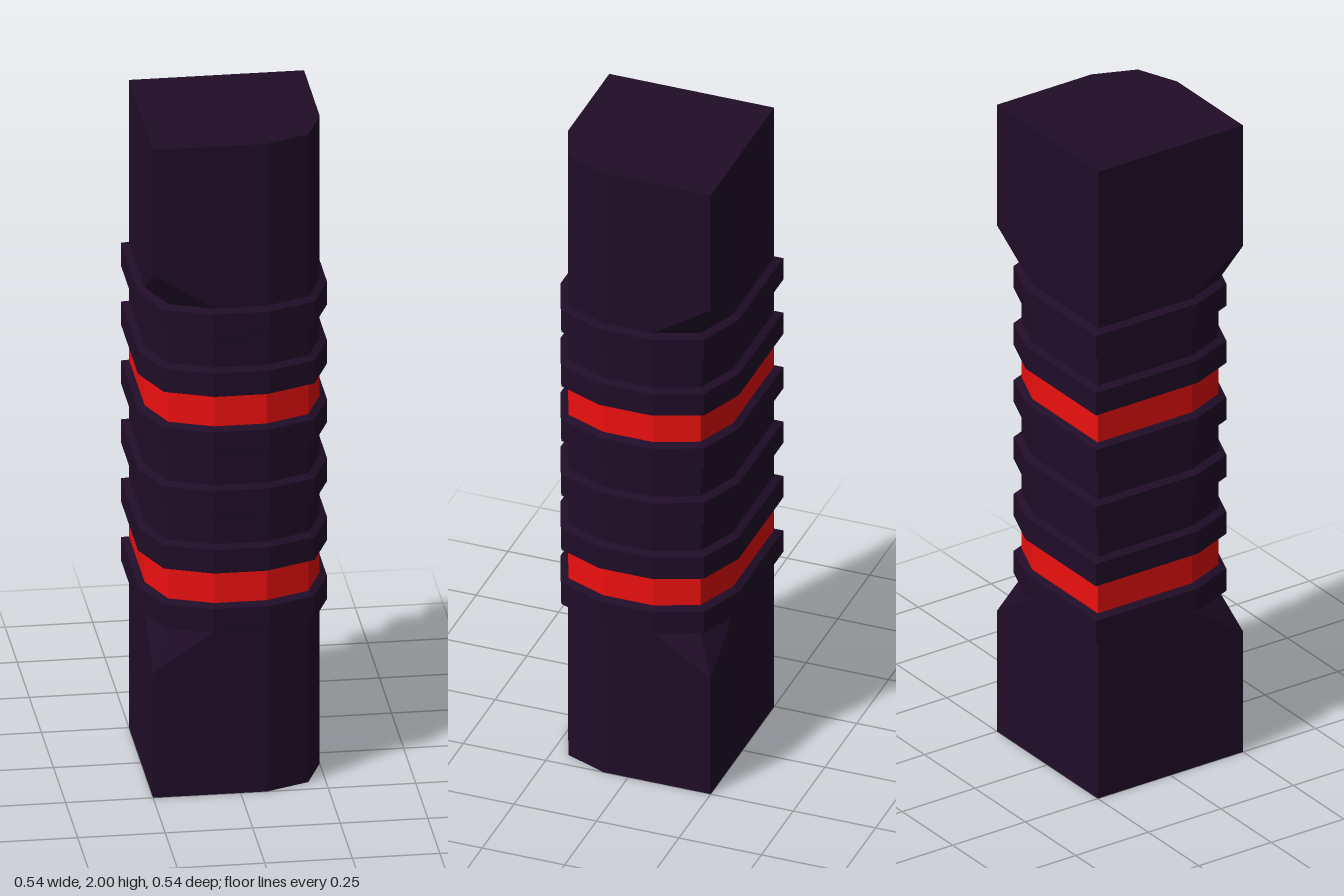
import * as THREE from 'three';

const dark = new THREE.MeshStandardMaterial({ color: 0x200d28, flatShading: true });
const red = new THREE.MeshStandardMaterial({ color: 0xee1010, flatShading: true });

// Corners in order (+x+z), (-x+z), (-x-z), (+x-z); true = bevelled, false = square
const END = [true, false, false, false];
const WAIST = [true, true, false, true];
const SQUARE = [[0.25, 0.25], [0.25, 0.25], [0.25, 0.25]];
const BEVEL = [[0.25, 0.075], [0.2, 0.2], [0.075, 0.25]];

// Twelve-point cross-section, three points per corner
function section(y, corners, scale = 1) {
  const points = [];
  corners.forEach((bevelled, quarter) => {
    for (let [x, z] of bevelled ? BEVEL : SQUARE) {
      for (let i = 0; i < quarter; i++) [x, z] = [-z, x];
      points.push(new THREE.Vector3(x * scale, y, z * scale));
    }
  });
  return points;
}

// Skin between consecutive cross-sections, with optional flat caps
function loft(name, material, sections, capBottom = false, capTop = false) {
  const positions = [];
  const tri = (a, b, c) => {
    if (new THREE.Triangle(a, b, c).getArea() < 1e-8) return;
    for (const p of [a, b, c]) positions.push(p.x, p.y, p.z);
  };
  const n = sections[0].length;
  for (let s = 0; s < sections.length - 1; s++) {
    const lo = sections[s], hi = sections[s + 1];
    for (let i = 0; i < n; i++) {
      const j = (i + 1) % n;
      tri(lo[i], hi[i], lo[j]);
      tri(lo[j], hi[i], hi[j]);
    }
  }
  const cap = (ring, up) => {
    const centre = new THREE.Vector3(0, ring[0].y, 0);
    for (let i = 0; i < n; i++) {
      const a = ring[i], b = ring[(i + 1) % n];
      if (up) tri(centre, b, a);
      else tri(centre, a, b);
    }
  };
  if (capBottom) cap(sections[0], false);
  if (capTop) cap(sections[sections.length - 1], true);

  const geometry = new THREE.BufferGeometry();
  geometry.setAttribute('position', new THREE.Float32BufferAttribute(positions, 3));
  geometry.computeVertexNormals();
  const mesh = new THREE.Mesh(geometry, material);
  mesh.name = name;
  return mesh;
}

export function createModel() {
  const pillar = new THREE.Group();
  pillar.name = 'pillar';

  // End blocks, whose square corners taper into the bevelled waist
  pillar.add(loft('bottomBlock', dark,
    [section(0, END), section(0.385, END), section(0.5, WAIST)], true, false));
  pillar.add(loft('topBlock', dark,
    [section(1.5, WAIST), section(1.615, END), section(2, END)], false, true));

  // Waist: raised rings alternate with grooves, two of which are red bands
  const count = 11, step = 1 / count, lip = 0.01;
  for (let i = 0; i < count; i++) {
    const y0 = 0.5 + i * step, y1 = y0 + step;
    if (i % 2 === 0) {
      pillar.add(loft('ring', dark, [
        section(y0, WAIST), section(y0 + lip, WAIST, 1.08),
        section(y1 - lip, WAIST, 1.08), section(y1, WAIST),
      ]));
    } else {
      const isBand = i === 1 || i === 7;
      pillar.add(loft(isBand ? 'redBand' : 'groove', isBand ? red : dark,
        [section(y0, WAIST), section(y1, WAIST)]));
    }
  }
  return pillar;
}
